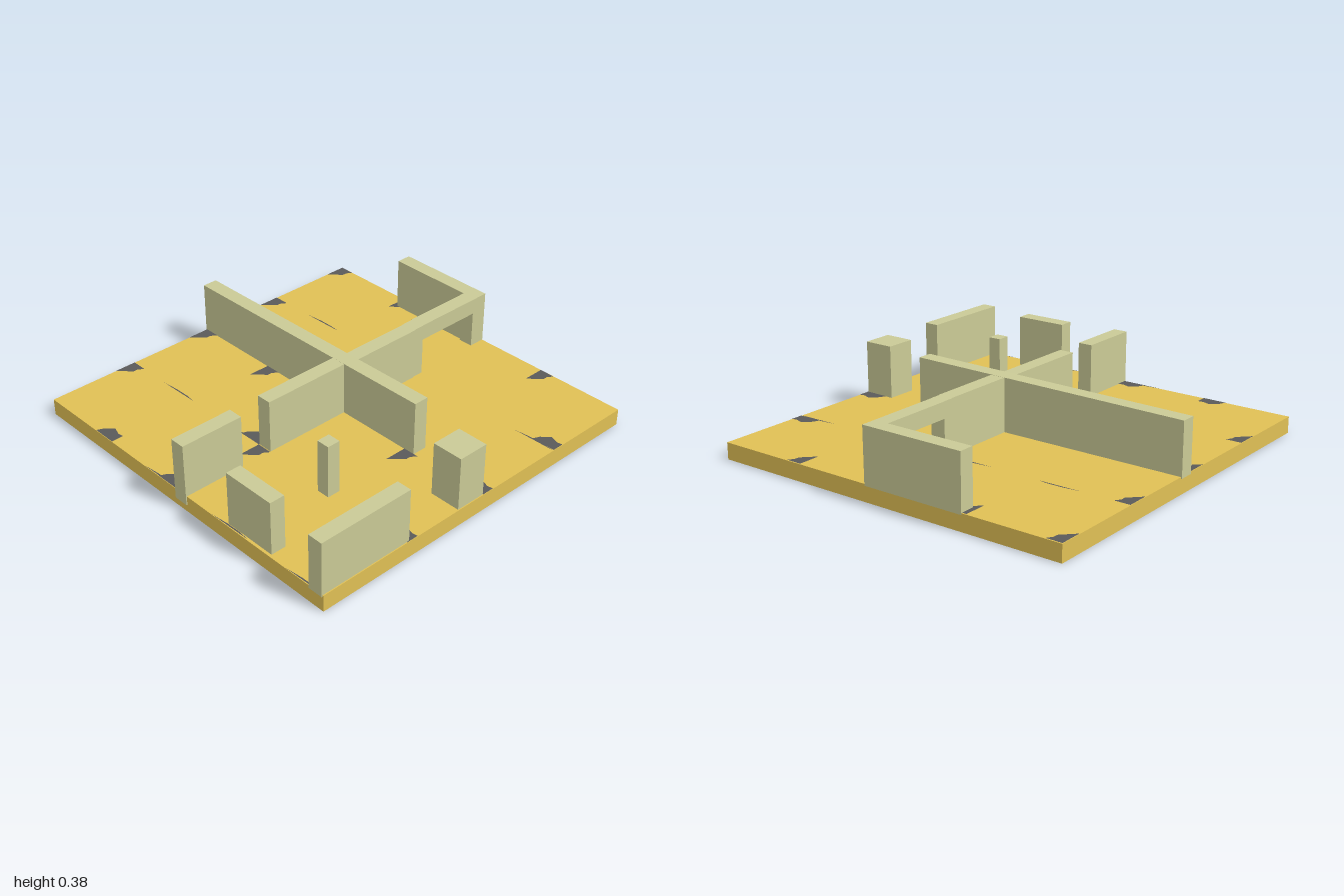
import * as THREE from 'three';

const FLOOR_Y = 0.088;

export function createModel() {
  const model = new THREE.Group();
  const sand = new THREE.MeshStandardMaterial({ color: 0xe0c055, flatShading: true });
  const stone = new THREE.MeshStandardMaterial({ color: 0xcaca96, flatShading: true });
  const dark = new THREE.MeshStandardMaterial({ color: 0x5a5a5a, side: THREE.DoubleSide });

  // Box given by its limits; the top may slope along x from topL to topR.
  function block(name, x0, x1, z0, z1, y0 = 0.08, topL = 0.37, topR = topL, material = stone) {
    const g = new THREE.BoxGeometry(x1 - x0, 1, z1 - z0);
    const p = g.attributes.position;
    for (let i = 0; i < p.count; i++) {
      const top = p.getX(i) < 0 ? topL : topR;
      p.setY(i, p.getY(i) < 0 ? y0 : top);
    }
    g.translate((x0 + x1) / 2, 0, (z0 + z1) / 2);
    g.computeVertexNormals();
    const mesh = new THREE.Mesh(g, material);
    mesh.name = name;
    model.add(mesh);
  }

  // Floor slab
  block('floor', -0.995, 0.995, -0.998, 0.995, 0, FLOOR_Y, FLOOR_Y, sand);

  // Long cross wall and the wall running forward from it
  block('crossWall', -1, 0.56, -0.07, 0.01, 0.08, 0.36, 0.376);
  block('middleWall', 0, 0.08, 0.01, 0.49);

  // Rear wall: solid part, then doorway with lintel and jamb
  block('rearWall', 0.015, 0.095, -0.47, -0.07);
  block('doorPost', 0.012, 0.092, -0.53, -0.47);
  block('doorLintel', 0.01, 0.09, -0.91, -0.53, 0.285);
  block('doorJamb', 0.01, 0.09, -0.925, -0.91);
  block('backWall', -0.47, 0.09, -1, -0.92);

  // Free-standing wall pieces and pillars
  block('frontWall', 0, 0.08, 0.66, 1, 0.04);
  block('frontPanel', 0.36, 0.65, 0.9, 0.98);
  block('sideWall', 0.91, 0.99, 0.48, 1);
  block('sidePillar', 0.825, 0.99, 0, 0.165);
  block('smallPost', 0.455, 0.525, 0.46, 0.53);

  // Flat dark chips in the floor: an outline in (x, z) repeated at tile corners
  function chips(name, outline, places) {
    const shape = new THREE.Shape(outline.map(([x, z]) => new THREE.Vector2(x, -z)));
    const geometry = new THREE.ShapeGeometry(shape).rotateX(-Math.PI / 2);
    for (const [x, z] of places) {
      const mesh = new THREE.Mesh(geometry, dark);
      mesh.name = name;
      mesh.position.set(x, FLOOR_Y + 0.002, z);
      model.add(mesh);
    }
  }
  chips('cornerChip', [[0, 0], [0, 0.12], [0.065, 0.055], [0.065, 0.03], [0.085, 0]], [
    [-0.994, -0.995], [-0.495, -0.995], [0.5, -0.995], [-0.994, -0.49], [-0.994, 0.01],
    [-0.495, 0.01], [0.5, 0.01], [-0.994, 0.495], [0, 0.495]]);
  chips('edgeChip', [[0, 0], [-0.13, 0], [-0.115, -0.035], [-0.075, -0.075], [-0.03, -0.06], [0, -0.065]], [
    [0, -0.5], [0.994, -0.5], [0.994, 0], [0, 0.495], [0.994, 0.495], [-0.5, 0.994], [0, 0.994]]);
  chips('crack', [[0, 0], [-0.24, 0.004], [-0.14, -0.006], [-0.06, -0.007]], [
    [-0.5, -0.495], [0, -0.495], [0.994, -0.495], [-0.5, 0.494], [0, 0.494], [0.994, 0.494],
    [0.5, 0.99], [0, 0.99], [0.994, 0.99]]);

  return model;
}
